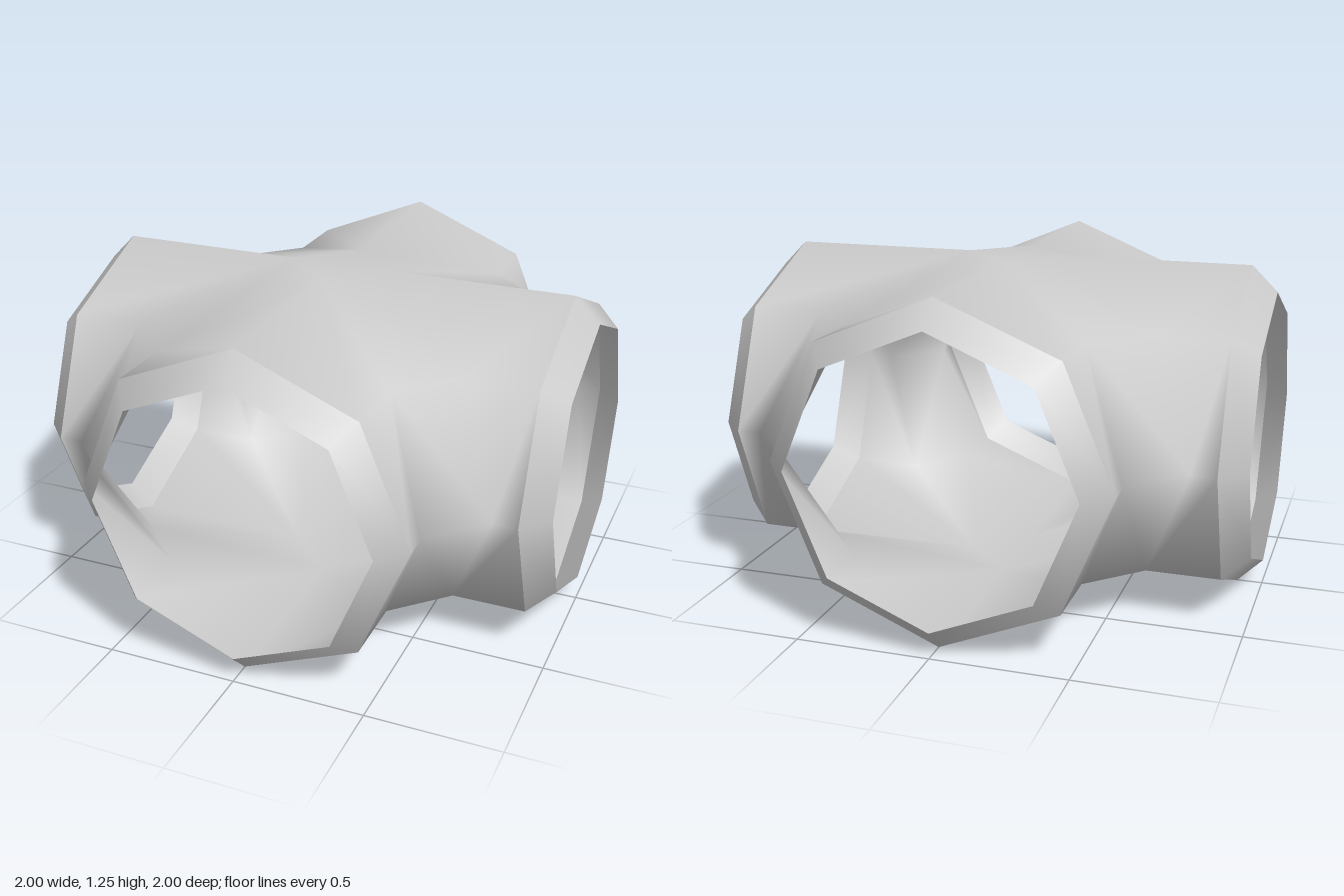
import * as THREE from 'three';

const R = 0.623;       // pipe radius
const CY = 0.625;      // height of the pipe axes
const BEVEL = 0.19;    // set-back of the bevel where pipes meet
const RIM = 0.905;     // where the straight pipe ends
const END = 1.0;       // where the tapered rim ends
const SIDES = 8;

// Four octagonal arms joined by bevel strips, as one smooth shell
function junctionGeometry() {
  const positions = [];
  const index = [];
  const quad = (a, b, c, d) => index.push(a, b, c, a, c, d);
  const inner = (arm, k) => (arm % 4) * 2 * SIDES + (k % SIDES);
  const outer = (arm, k) => inner(arm, k) + SIDES;

  // Each arm has a mitred inner ring and a flat outer ring
  for (let arm = 0; arm < 4; arm++) {
    const c = Math.round(Math.cos(arm * Math.PI / 2));
    const s = Math.round(Math.sin(arm * Math.PI / 2));
    for (const isOuter of [false, true]) {
      for (let k = 0; k < SIDES; k++) {
        const t = k / SIDES * Math.PI * 2;
        const side = R * Math.sin(t);
        const along = isOuter ? RIM : Math.abs(side) + BEVEL;
        positions.push(c * side + s * along, R * Math.cos(t), -s * side + c * along);
      }
    }
  }

  for (let arm = 0; arm < 4; arm++) {
    // Pipe wall
    for (let k = 0; k < SIDES; k++) {
      quad(inner(arm, k), outer(arm, k), outer(arm, k + 1), inner(arm, k + 1));
    }
    // Bevel strip to the next arm
    for (let k = 0; k < SIDES / 2; k++) {
      quad(inner(arm, k), inner(arm, k + 1),
        inner(arm + 1, SIDES - k - 1), inner(arm + 1, SIDES - k));
    }
  }
  // Small diamonds at the top and bottom crossing
  quad(inner(0, 0), inner(1, 0), inner(2, 0), inner(3, 0));
  quad(inner(3, 4), inner(2, 4), inner(1, 4), inner(0, 4));

  const geometry = new THREE.BufferGeometry();
  geometry.setAttribute('position', new THREE.Float32BufferAttribute(positions, 3));
  geometry.setIndex(index);
  geometry.computeVertexNormals();
  return geometry;
}

export function createModel() {
  const model = new THREE.Group();
  model.name = 'pipeCross';
  const material = new THREE.MeshStandardMaterial({ color: 0xcccccc, side: THREE.DoubleSide });

  const junction = new THREE.Mesh(junctionGeometry(), material);
  junction.name = 'junction';
  junction.position.y = CY;
  model.add(junction);

  // Tapered rim on each open end
  const length = END - RIM;
  const rimGeometry = new THREE.CylinderGeometry(R - length, R, length, SIDES, 1, true);
  rimGeometry.rotateX(Math.PI / 2);
  rimGeometry.translate(0, 0, RIM + length / 2);
  ['frontRim', 'leftRim', 'backRim', 'rightRim'].forEach((name, i) => {
    const rim = new THREE.Mesh(rimGeometry, material);
    rim.name = name;
    rim.position.y = CY;
    rim.rotation.y = i * Math.PI / 2;
    model.add(rim);
  });

  return model;
}
